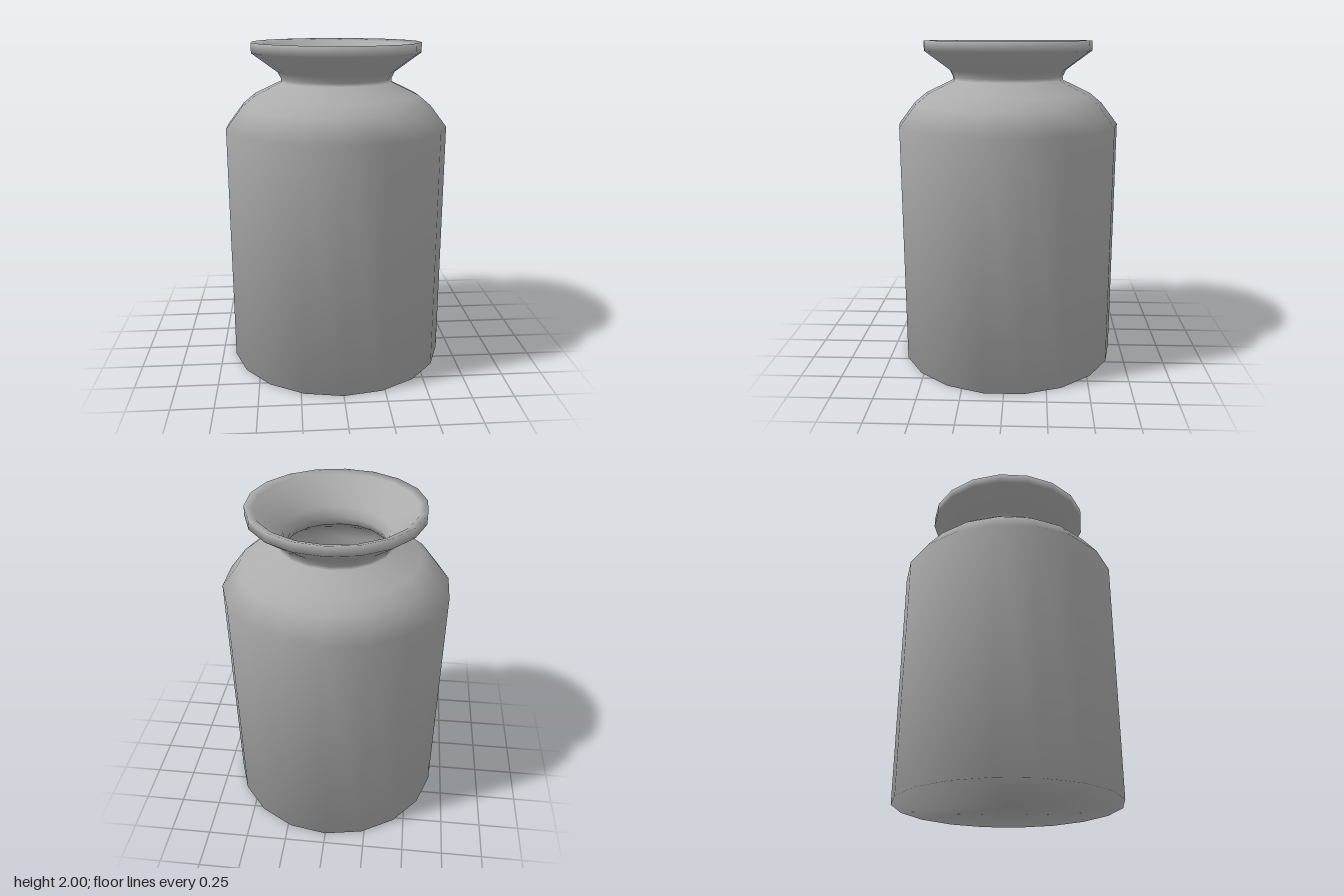
import * as THREE from 'three';

const SIDES = 18;

export function createModel() {
  const jar = new THREE.Group();
  jar.name = 'jar';

  // Revolves a [radius, height] profile into a smooth surface
  const turn = (name, color, profile) => {
    const points = profile.map(([r, y]) => new THREE.Vector2(r, y));
    const material = new THREE.MeshStandardMaterial({ color });
    const mesh = new THREE.Mesh(new THREE.LatheGeometry(points, SIDES), material);
    mesh.name = name;
    jar.add(mesh);
  };

  // One smooth shell: underside, wall, shoulder, neck, collar, lip and hollow
  turn('shell', 0xacacac, [
    [0, 0], [0.677, 0],
    [0.68, 1.495], [0.58, 1.625], [0.504, 1.687],
    [0.34, 1.765], [0.338, 1.785], [0.358, 1.825],
    [0.515, 1.94], [0.515, 2],
    [0.47, 1.985], [0.39, 1.91], [0.31, 1.84], [0.283, 1.78],
    [0.3, 1.73], [0.47, 1.64], [0.54, 1.59], [0.62, 1.48], [0.62, 0.02],
  ]);

  // Pale floor inside, its rim softly turned down
  turn('floor', 0xd8d8d8, [[0.62, 0.02], [0.62, 0.06], [0, 0.06]]);

  return jar;
}
